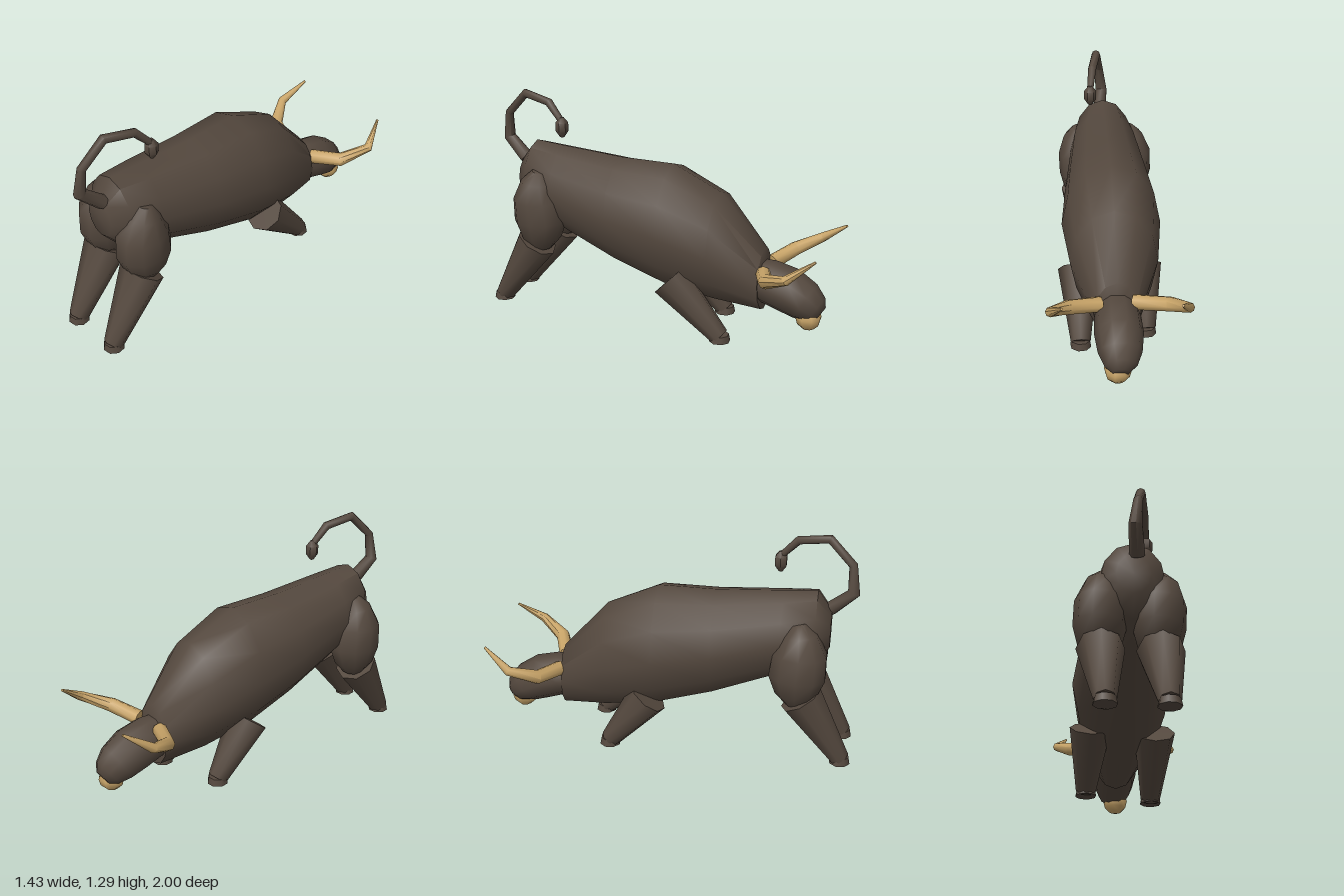
import * as THREE from 'three';
import { toCreasedNormals } from 'three/addons/utils/BufferGeometryUtils.js';

const HIDE = new THREE.MeshStandardMaterial({ color: 0x54483e });
const HORN = new THREE.MeshStandardMaterial({ color: 0xc8a468 });

// The animal walks along FWD; SIDE is its cross direction
const FWD = new THREE.Vector3(0.5, 0, -0.866);
const SIDE = new THREE.Vector3(0.866, 0, 0.5);
const UP = new THREE.Vector3(0, 1, 0);
const V = (x, y, z) => new THREE.Vector3(x, y, z);

// Point on the spine plane, at distance s along the walking direction
const spine = (s, y) => V(-0.026 + 0.5 * s, y, -0.015 - 0.866 * s);

// Closed skin over elliptical rings: each ring is [centre, radius, otherRadius]
function loft(name, rings, { sides = 10, ref = SIDE, axis = null, material = HIDE } = {}) {
  const pos = [], index = [], last = rings.length - 1;
  rings.forEach(([c, a, b = a], i) => {
    const t = axis ? axis.clone()
      : rings[Math.min(i + 1, last)][0].clone().sub(rings[Math.max(i - 1, 0)][0]).normalize();
    const u = ref.clone().addScaledVector(t, -ref.dot(t)).normalize();
    const v = t.clone().cross(u);
    for (let j = 0; j < sides; j++) {
      const q = (j / sides) * Math.PI * 2;
      const p = c.clone().addScaledVector(u, a * Math.cos(q)).addScaledVector(v, b * Math.sin(q));
      pos.push(p.x, p.y, p.z);
    }
  });
  const start = pos.length / 3;
  pos.push(...rings[0][0].toArray(), ...rings[last][0].toArray());
  for (let j = 0; j < sides; j++) {
    const k = (j + 1) % sides;
    for (let i = 0; i < last; i++) {
      const r = i * sides, n = r + sides;
      index.push(r + j, r + k, n + k, r + j, n + k, n + j);
    }
    index.push(start, k, j, start + 1, last * sides + j, last * sides + k);
  }
  const geo = new THREE.BufferGeometry();
  geo.setAttribute('position', new THREE.Float32BufferAttribute(pos, 3));
  geo.setIndex(index);
  const mesh = new THREE.Mesh(toCreasedNormals(geo, 0.9), material);
  mesh.name = name;
  return mesh;
}

// Tapered lower leg with a small hoof
function leg(name, top, foot, rTop, rFoot) {
  const g = new THREE.Group();
  g.name = name;
  g.add(loft('shank', [[top, rTop], [foot, rFoot]], { sides: 8 }));
  const hoof = new THREE.Mesh(new THREE.CylinderGeometry(0.052, 0.06, 0.04, 8), HIDE);
  hoof.name = 'hoof';
  hoof.position.set(foot.x, 0.02, foot.z);
  g.add(hoof);
  return g;
}

export function createModel() {
  const bull = new THREE.Group();
  bull.name = 'bull';

  // Body rings: distance along spine, top, bottom, half width
  const body = [
    [-0.91, 0.86, 0.64, 0.09], [-0.83, 0.97, 0.54, 0.165], [-0.65, 0.955, 0.47, 0.205],
    [-0.28, 0.93, 0.32, 0.25], [0.04, 0.93, 0.22, 0.278], [0.33, 0.80, 0.175, 0.24],
    [0.59, 0.51, 0.15, 0.126],
  ].map(([s, top, bottom, w]) => [spine(s, (top + bottom) / 2), w, (top - bottom) / 2]);
  bull.add(loft('body', body, { sides: 12, axis: FWD }));

  // Head, drooping forward from the neck
  bull.add(loft('head', [
    [spine(0.53, 0.33), 0.11], [spine(0.62, 0.32), 0.125], [spine(0.73, 0.29), 0.13],
    [spine(0.83, 0.24), 0.115], [spine(0.89, 0.2), 0.085], [spine(0.92, 0.18), 0.045],
  ]));
  const muzzle = new THREE.Mesh(new THREE.SphereGeometry(0.073, 8, 6), HORN);
  muzzle.name = 'muzzle';
  muzzle.position.set(0.415, 0.155, -0.75);
  bull.add(muzzle);

  // Horns
  const hornRadii = [0.042, 0.04, 0.027, 0.007];
  const horns = {
    leftHorn: [V(0.36, 0.4, -0.5), V(0.54, 0.43, -0.475), V(0.69, 0.495, -0.55), V(0.712, 0.6, -0.7)],
    rightHorn: [V(0.2, 0.4, -0.58), V(0.08, 0.43, -0.74), V(0.08, 0.495, -0.9), V(0.2, 0.6, -1.0)],
  };
  for (const [name, path] of Object.entries(horns))
    bull.add(loft(name, path.map((p, i) => [p, hornRadii[i]]), { sides: 8, ref: UP, material: HORN }));

  // Tail with a tuft
  bull.add(loft('tail', [
    [V(-0.46, 0.86, 0.77), 0.04], [V(-0.535, 0.97, 0.865), 0.035], [V(-0.515, 1.12, 0.86), 0.024],
    [V(-0.43, 1.25, 0.76), 0.026], [V(-0.32, 1.22, 0.63), 0.024], [V(-0.26, 1.12, 0.56), 0.018],
  ], { sides: 8 }));
  bull.add(loft('tailTuft', [
    [V(-0.26, 1.145, 0.56), 0.012], [V(-0.26, 1.115, 0.56), 0.036],
    [V(-0.26, 1.065, 0.56), 0.036], [V(-0.26, 1.03, 0.56), 0.012],
  ], { sides: 6 }));

  // Hind legs: thigh and shank, the second set shifted across the body
  for (const [name, dx, dz] of [['left', 0, 0], ['right', -0.26, -0.145]]) {
    const at = (x, y, z) => V(x + dx, y, z + dz);
    bull.add(loft(name + 'Thigh', [
      [at(-0.26, 0.83, 0.7), 0.04], [at(-0.27, 0.77, 0.71), 0.095], [at(-0.28, 0.66, 0.71), 0.135, 0.15],
      [at(-0.28, 0.53, 0.7), 0.135, 0.16], [at(-0.28, 0.43, 0.7), 0.11, 0.12], [at(-0.28, 0.36, 0.7), 0.06],
    ]));
    bull.add(leg(name + 'HindLeg', at(-0.29, 0.395, 0.725), at(-0.395, 0.025, 0.935), 0.122, 0.055));
  }

  // Forelegs, reaching forward
  bull.add(leg('leftForeleg', V(0.19, 0.32, -0.01), V(0.34, 0.025, -0.27), 0.115, 0.055));
  bull.add(leg('rightForeleg', V(-0.14, 0.32, -0.16), V(-0.04, 0.025, -0.36), 0.115, 0.055));

  return bull;
}
